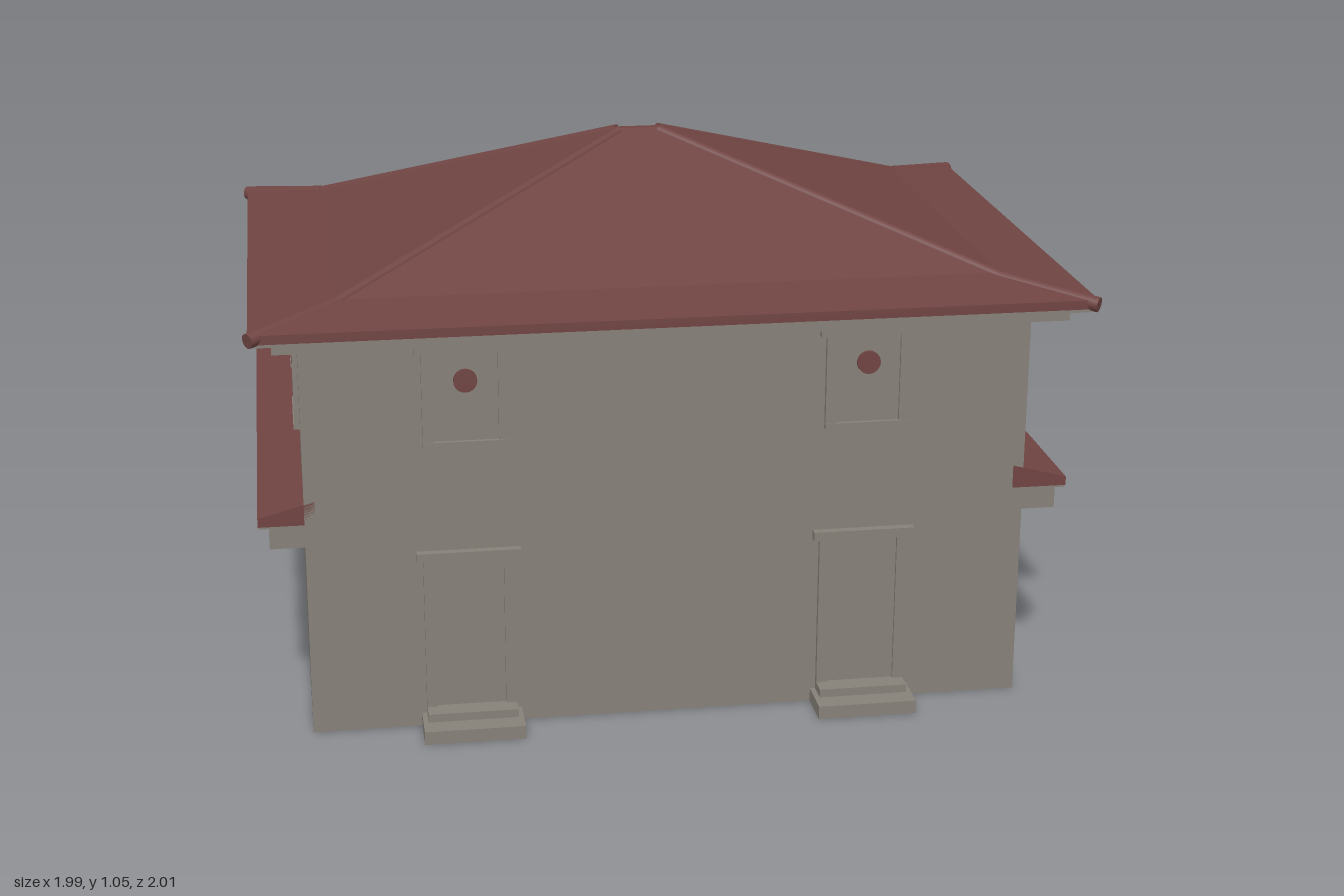
import * as THREE from 'three';

const mat = (name, color, opts = {}) => {
  const m = new THREE.MeshStandardMaterial({ color, side: THREE.DoubleSide, ...opts });
  m.name = name;
  return m;
};

export function createModel() {
  const wall = mat('warm grey plaster', 0x868078);
  const tile = mat('red brown roof', 0x6f4442);
  const house = new THREE.Group();
  house.name = 'house';

  const add = (parent, name, geo, m) => {
    const mesh = new THREE.Mesh(geo, m);
    mesh.name = name;
    parent.add(mesh);
    return mesh;
  };
  // box given by its minimum and maximum on each axis
  const box = (name, x0, x1, y0, y1, z0, z1, parent = house) =>
    add(parent, name, new THREE.BoxGeometry(x1 - x0, y1 - y0, z1 - z0), wall)
      .position.set((x0 + x1) / 2, (y0 + y1) / 2, (z0 + z1) / 2);
  // flat polygons, fan triangulated
  const polys = (name, list, m) => {
    const pos = [];
    for (const p of list)
      for (let i = 1; i < p.length - 1; i++) pos.push(...p[0], ...p[i], ...p[i + 1]);
    const g = new THREE.BufferGeometry();
    g.setAttribute('position', new THREE.Float32BufferAttribute(pos, 3));
    g.computeVertexNormals();
    return add(house, name, g, m);
  };
  // low rounded tile cap from a to b, mostly sunk into the roof
  const cap = (a, b, r) => {
    const A = new THREE.Vector3(...a), B = new THREE.Vector3(...b);
    const c = add(house, 'ridgeCap', new THREE.CylinderGeometry(r, r, A.distanceTo(B), 16), tile);
    c.position.copy(A).add(B).multiplyScalar(0.5);
    c.position.y -= r * 0.65;
    c.quaternion.setFromUnitVectors(new THREE.Vector3(0, 1, 0), B.sub(A).normalize());
  };
  // rectangle of corners at one height, and the four sides between two of them
  const ring = (hx, hz, y, zc) =>
    [[-hx, y, zc + hz], [hx, y, zc + hz], [hx, y, zc - hz], [-hx, y, zc - hz]];
  const sides = (a, b) => a.map((p, k) => [p, a[(k + 1) % 4], b[(k + 1) % 4], b[k]]);

  // main two-storey body, an open shell
  const WX = 0.68, FZ = 0.517, BZ = -0.28;
  const wz = (FZ + BZ) / 2, wh = (FZ - BZ) / 2;
  polys('mainWalls', sides(ring(WX, wh, 0, wz), ring(WX, wh, 0.808, wz)), wall);

  // upper hipped roof with flared eaves
  const zc = 0.1175;
  const rings = [ring(0.765, 0.5275, 0.81, zc), ring(0.765, 0.5275, 0.827, zc),
    ring(0.61, 0.41, 0.852, zc), ring(0.04, 0.008, 1.05, 0.095)];
  const upper = [rings[3]];
  for (let i = 0; i < 3; i++) upper.push(...sides(rings[i], rings[i + 1]));
  polys('upperRoof', upper, tile);
  for (let k = 0; k < 4; k++) {
    cap(rings[1][k], rings[2][k], 0.014);
    cap(rings[2][k], rings[3][k], 0.012);
  }

  // upper soffit and fascia ring
  box('upperSoffit', -0.763, 0.763, 0.804, 0.812, zc - 0.5255, zc + 0.5255);
  for (const s of [-1, 1]) {
    const x = s * 0.712, z = zc + s * 0.475;
    box('upperFasciaSide', x - 0.013, x + 0.013, 0.778, 0.806, zc - 0.488, zc + 0.488);
    box('upperFascia', -0.725, 0.725, 0.778, 0.806, z - 0.013, z + 0.013);
  }

  // lower roof: two half pyramids meeting in a valley, with skirts along the ends
  const E0 = [0.765, 0.437, -0.652], V0 = [0, 0.437, -0.652], E1 = [0.66, 0.465, -0.552],
    V1 = [0.1, 0.465, -0.552], P = [0.38, 0.56, -0.275], W0 = [0, 0.437, -0.275],
    W1 = [0.1, 0.465, -0.275], G1 = [0.66, 0.465, -0.275],
    F0 = [0.765, 0.437, FZ], F1 = [0.66, 0.465, FZ];
  const low = p => [p[0], 0.42, p[2]];
  const half = [
    [E0, V0, V1, E1], [E1, V1, P], [V0, W0, W1, V1], [V1, W1, P],
    [E0, E1, F1, F0], [E1, P, G1], [low(F1), low(F0), F0, F1],
    [V0, E0, low(E0), low(V0)], [E0, F0, low(F0), low(E0)],
  ];
  const flip = half.map(p => p.map(([x, y, z]) => [-x, y, z]).reverse());
  polys('lowerRoof', [...half, ...flip], tile);

  // lower soffit and fascia, boxed in solid along the ends
  box('lowerSoffit', -0.757, 0.757, 0.414, 0.422, -0.65, BZ);
  box('lowerFascia', -0.745, 0.745, 0.375, 0.424, -0.645, -0.615);
  for (const s of [-1, 1]) {
    const x = s * 0.73, b = s * 0.711, e = s * 0.722;
    box('endFascia', x - 0.015, x + 0.015, 0.375, 0.424, -0.645, -0.53);
    box('endCornice', b - 0.034, b + 0.034, 0.375, 0.424, -0.535, FZ - 0.003);
    box('endSoffit', e - 0.042, e + 0.042, 0.416, 0.422, BZ, FZ - 0.001);
  }

  // framed window or door, facing local +z
  const opening = (name, x, y0, y1, z, turn, w, medallion) => {
    const g = new THREE.Group();
    g.name = name;
    g.position.set(x, 0, z);
    g.rotation.y = turn;
    house.add(g);
    const h = w / 2;
    box('lintel', -h - 0.012, h + 0.012, y1 - 0.018, y1, 0, 0.016, g);
    for (const s of [-1, 1])
      box('jamb', s * (h - 0.01) - 0.01, s * (h - 0.01) + 0.01, y0, y1 - 0.018, 0, 0.01, g);
    box('pane', -h + 0.02, h - 0.02, y0, y1 - 0.018, 0, 0.004, g);
    if (medallion) {
      box('sill', -h, h, y0, y0 + 0.012, 0, 0.012, g);
      const d = add(g, 'medallion', new THREE.CylinderGeometry(0.022, 0.022, 0.009, 20), tile);
      d.rotation.x = Math.PI / 2;
      d.position.set(0, 0.688, 0.0065);
    }
  };

  // upper windows on all four walls, doors with steps at the front
  for (const x of [-0.38, 0.37]) {
    opening('frontWindow', x, 0.56, 0.76, FZ, 0, 0.16, true);
    opening('rearWindow', x, 0.56, 0.76, BZ, Math.PI, 0.16, true);
    opening('frontDoor', x, 0.03, 0.356, FZ, 0, 0.17, false);
    box('upperStep', x - 0.085, x + 0.085, 0, 0.042, FZ, 0.56);
    box('lowerStep', x - 0.095, x + 0.095, 0, 0.026, FZ, 0.6);
  }
  for (const z of [-0.07, 0.305])
    for (const s of [-1, 1])
      opening('endWindow', s * WX, 0.56, 0.76, z, s * Math.PI / 2, 0.16, true);

  // two rear rooms with porches, separated by a passage
  for (const s of [-1, 1]) {
    const c = s * 0.38, hw = 0.3;
    box('rearRoom', c - hw, c + hw, 0, 0.415, -0.53, BZ);
    box('porchPlinth', c - hw, c + hw, 0, 0.034, -0.635, -0.53);
    box('baseBoard', c - hw, c + hw, 0.034, 0.055, -0.545, -0.53);
    for (const e of [-1, 1]) {
      const px = c + e * (hw - 0.012);
      box('porchPost', px - 0.008, px + 0.008, 0.03, 0.415, -0.626, -0.61);
      opening('rearLowerWindow', c + e * 0.18, 0.16, 0.335, -0.53, Math.PI, 0.12, false);
      add(house, 'porchLamp', new THREE.SphereGeometry(0.016, 14, 10), wall)
        .position.set(c + e * 0.115, 0.305, -0.59);
      box('lampRod', c + e * 0.115 - 0.003, c + e * 0.115 + 0.003, 0.31, 0.416, -0.593, -0.587);
      const dx = c + e * 0.047;
      box('porchDoorLeaf', dx - 0.044, dx + 0.044, 0.05, 0.36, -0.536, -0.53);
    }
  }

  // the house stands turned on its plot
  house.rotation.y = 0.85;
  const model = new THREE.Group();
  model.name = 'villa';
  model.add(house);
  return model;
}
